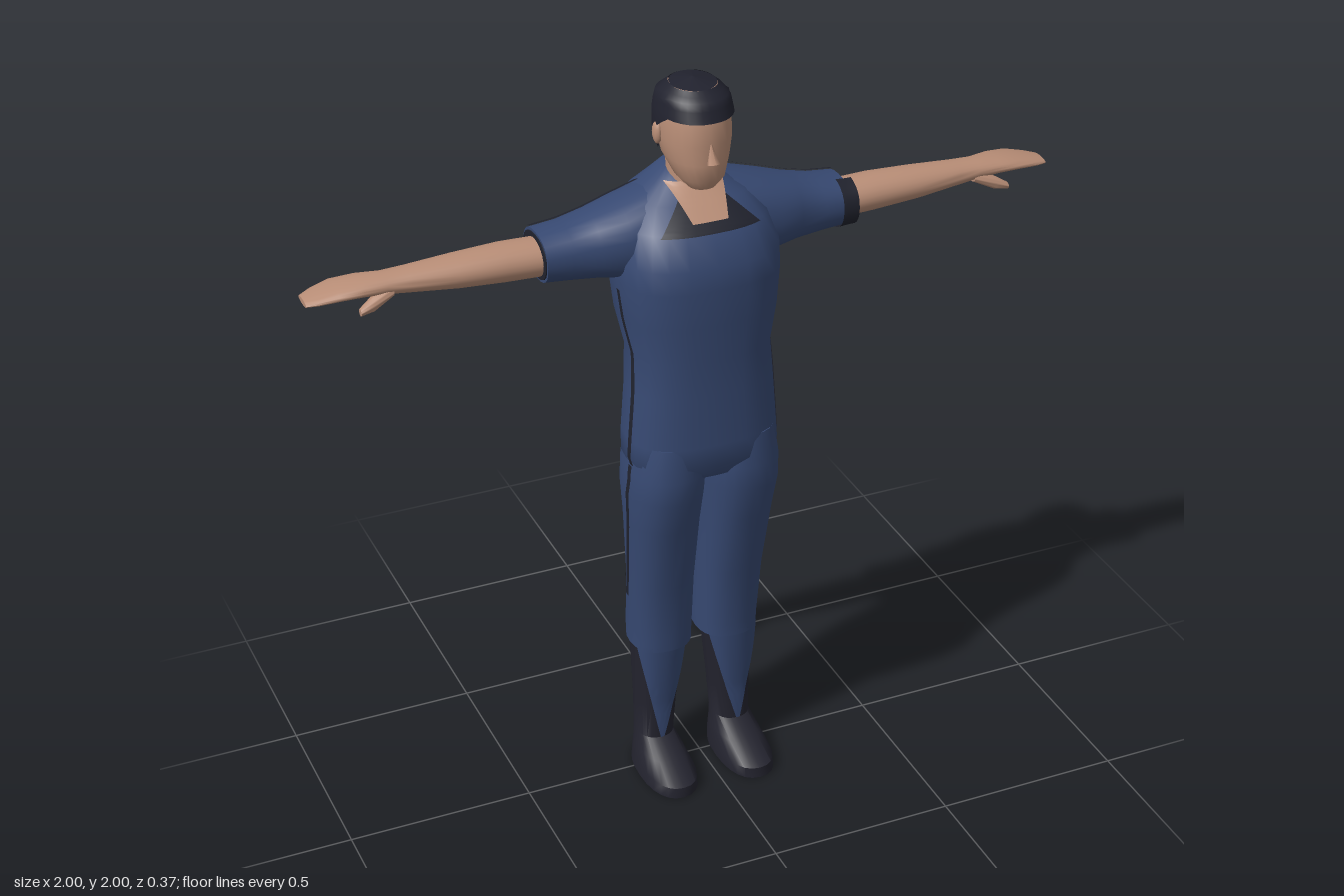
import * as THREE from 'three';
import { mergeVertices, toCreasedNormals } from 'three/addons/utils/BufferGeometryUtils.js';

const mat = (name, color, side = THREE.FrontSide) => {
  const m = new THREE.MeshStandardMaterial({ color, side });
  m.name = name;
  return m;
};
const SIDES = 24;
const { lerp, clamp } = THREE.MathUtils;
const spow = (x, p) => Math.sign(x) * Math.abs(x) ** p;

// Surface swept through rows [s, centre, halfWidth, front, back]; p < 1 gives squarer sections.
// axis 'y': sections in (x, z); axis 'x': sections in (z, y).
function surface(rows, axis = 'y', p = 1) {
  const at = (s) => {
    let i = 0;
    while (i < rows.length - 2 && s > rows[i + 1][0]) i++;
    const a = rows[i], b = rows[i + 1];
    const t = clamp((s - a[0]) / (b[0] - a[0]), 0, 1);
    const [, c, w, f, k] = a.map((v, n) => lerp(v, b[n], t));
    return { c, w, mid: (f + k) / 2, half: (f - k) / 2 };
  };
  return {
    rows,
    point(s, angle, off = 0) {
      const r = at(s);
      const u = r.c + (r.w + off) * spow(Math.cos(angle), p);
      const v = r.mid + (r.half + off) * spow(Math.sin(angle), p);
      return axis === 'y' ? new THREE.Vector3(u, s, v) : new THREE.Vector3(s, v, u);
    },
    // angle on the front half at width position u, or on the outer half at depth v
    angleU(s, u) { const r = at(s); return Math.acos(clamp(spow((u - r.c) / r.w, 1 / p), -1, 1)); },
    angleV(s, v) { const r = at(s); return Math.asin(clamp(spow((v - r.mid) / r.half, 1 / p), -1, 1)); },
  };
}

// Grid of points f(i, j), optionally closed with end caps.
function grid(ni, nj, f, caps = false) {
  const pos = [], index = [];
  for (let i = 0; i <= ni; i++) for (let j = 0; j <= nj; j++) pos.push(...f(i, j).toArray());
  const id = (i, j) => i * (nj + 1) + j;
  for (let i = 0; i < ni; i++) for (let j = 0; j < nj; j++) {
    index.push(id(i, j), id(i + 1, j), id(i + 1, j + 1), id(i, j), id(i + 1, j + 1), id(i, j + 1));
  }
  if (caps) for (const i of [0, ni]) {
    const c = f(i, 0).add(f(i, nj / 2)).multiplyScalar(0.5), n = pos.length / 3;
    pos.push(...c.toArray());
    for (let j = 0; j < nj; j++) {
      if (i) index.push(id(i, j), n, id(i, j + 1));
      else index.push(id(i, j), id(i, j + 1), n);
    }
  }
  const g = new THREE.BufferGeometry();
  g.setAttribute('position', new THREE.Float32BufferAttribute(pos, 3));
  g.setIndex(index);
  return toCreasedNormals(mergeVertices(g, 1e-5), 0.9);
}

const loft = (sf) => grid(sf.rows.length - 1, SIDES,
  (i, j) => sf.point(sf.rows[i][0], (j % SIDES) / SIDES * Math.PI * 2), true);

// Thin overlay between two angle limits (functions of s) on a surface.
const patch = (sf, s0, s1, lo, hi, off = 0.004, n = 16, m = 8) => grid(n, m, (i, j) => {
  const s = lerp(s0, s1, i / n);
  return sf.point(s, lerp(lo(s), hi(s), j / m), off);
});

// Copy to the other side of x = 0, reversing each triangle.
function mirrored(g) {
  const out = g.clone().scale(-1, 1, 1);
  for (const a of [out.attributes.position, out.attributes.normal]) {
    for (let i = 0; i < a.count; i += 3) {
      const b = new THREE.Vector3().fromBufferAttribute(a, i + 1);
      const c = new THREE.Vector3().fromBufferAttribute(a, i + 2);
      a.setXYZ(i + 1, c.x, c.y, c.z);
      a.setXYZ(i + 2, b.x, b.y, b.z);
    }
  }
  return out;
}

export function createModel() {
  const blue = mat('blue cloth', 0x374972);
  const skin = mat('skin', 0xb98e77);
  const dark = mat('dark trim', 0x20222d, THREE.DoubleSide);
  const black = mat('boot leather', 0x23232e);
  const hairMat = mat('hair', 0x21222e, THREE.DoubleSide);

  const model = new THREE.Group();
  model.name = 'standingMan';
  const body = new THREE.Group(), arms = new THREE.Group();
  body.name = 'body';
  arms.name = 'arms';
  body.position.x = -0.012;
  model.add(body, arms);
  const add = (parent, name, g, m) => {
    const mesh = new THREE.Mesh(g, m);
    mesh.name = name;
    parent.add(mesh);
  };
  const pair = (parent, name, g, m) => {
    const flat = g.index ? g.toNonIndexed() : g;
    add(parent, 'left' + name, flat, m);
    add(parent, 'right' + name, mirrored(flat), m);
  };

  // Torso
  const torso = surface([
    [0.955, 0, 0.17, 0.13, -0.08], [1.0, 0, 0.203, 0.157, -0.105], [1.06, 0, 0.2, 0.157, -0.115],
    [1.2, 0, 0.19, 0.15, -0.11], [1.3, 0, 0.183, 0.152, -0.128], [1.4, 0, 0.203, 0.156, -0.155],
    [1.5, 0, 0.212, 0.16, -0.175], [1.56, 0, 0.212, 0.156, -0.183], [1.64, 0, 0.19, 0.115, -0.183],
    [1.69, 0, 0.15, 0.055, -0.165], [1.73, 0, 0.085, 0.005, -0.14], [1.755, 0, 0.055, -0.02, -0.12],
  ], 'y', 0.75);
  add(body, 'torso', loft(torso), blue);

  // Open collar with bare throat
  const band = (width, s0, s1, off) => patch(torso, s0, s1,
    (s) => torso.angleU(s, width(s)), (s) => torso.angleU(s, -width(s)), off);
  add(body, 'collar', band((s) => lerp(0.13, 0.055, (s - 1.637) / 0.07), 1.637, 1.707, 0.004), dark);
  add(body, 'throat', band((s) => lerp(0.045, 0.065, (s - 1.66) / 0.06), 1.66, 1.735, 0.008), skin);

  // Legs
  const leg = surface([
    [0.392, 0.095, 0.083, 0.058, -0.118], [0.43, 0.095, 0.084, 0.06, -0.118],
    [0.6, 0.098, 0.087, 0.075, -0.092], [0.8, 0.103, 0.093, 0.125, -0.097],
    [0.9, 0.105, 0.1, 0.15, -0.101], [0.97, 0.102, 0.1, 0.157, -0.104], [1.06, 0.1, 0.09, 0.145, -0.1],
  ], 'y', 0.85);
  pair(body, 'TrouserLeg', loft(leg), blue);

  // Side stripe running from the armpit to the knee
  const stripeZ = (s) => s > 1.2 ? lerp(0.05, 0.015, (s - 1.2) / 0.28)
    : s > 0.95 ? 0.05 : lerp(-0.02, 0.05, (s - 0.55) / 0.4);
  const stripe = (sf, s0, s1) => patch(sf, s0, s1,
    (s) => sf.angleV(s, stripeZ(s) - 0.008), (s) => sf.angleV(s, stripeZ(s) + 0.008), 0.004, 20, 2);
  pair(body, 'TorsoStripe', stripe(torso, 0.99, 1.48), dark);
  pair(body, 'LegStripe', stripe(leg, 0.55, 0.99), dark);
  pair(body, 'KneeSeam', patch(leg, 0.58, 0.586, () => Math.PI * 1.1, () => Math.PI * 1.9, 0.003, 1, 16), dark);

  // Boots, with a pointed blue shin panel
  const boot = surface([
    [0, 0.113, 0.072, 0.185, -0.092], [0.03, 0.112, 0.07, 0.183, -0.092], [0.065, 0.112, 0.06, 0.105, -0.09],
    [0.097, 0.112, 0.05, 0.03, -0.09], [0.2, 0.108, 0.055, 0.03, -0.092], [0.41, 0.102, 0.072, 0.052, -0.1],
  ], 'y', 0.85);
  pair(body, 'Boot', loft(boot), black);
  const spread = (s) => lerp(0.06, 1.2, (s - 0.1) / 0.3);
  pair(body, 'ShinPanel', patch(boot, 0.1, 0.405,
    (s) => Math.PI / 2 - spread(s), (s) => Math.PI / 2 + spread(s), 0.005), blue);

  // Sleeves
  const sleeve = surface([
    [0.08, -0.06, 0.1, 1.725, 1.5], [0.2, -0.05, 0.11, 1.69, 1.495], [0.27, -0.06, 0.092, 1.665, 1.5],
    [0.34, -0.06, 0.086, 1.648, 1.508], [0.41, -0.06, 0.085, 1.64, 1.515],
  ], 'x', 0.85);
  pair(arms, 'Sleeve', loft(sleeve), blue);
  pair(arms, 'SleeveStripe', patch(sleeve, 0.1, 0.41,
    (s) => sleeve.angleU(s, -0.095), (s) => sleeve.angleU(s, -0.11), 0.004, 16, 2), dark);
  const opening = surface([[0.4, -0.06, 0.078, 1.633, 1.522], [0.413, -0.06, 0.078, 1.633, 1.522]], 'x', 0.85);
  pair(arms, 'SleeveOpening', loft(opening), dark);
  add(arms, 'leftCuffBand', patch(sleeve, 0.385, 0.428, () => -1.25, () => 1.25, 0.004, 4, 12), dark);

  // Bare arms, mitten-like hands and thumbs
  const arm = surface([
    [0.38, -0.058, 0.06, 1.622, 1.525], [0.5, -0.058, 0.061, 1.625, 1.53], [0.62, -0.058, 0.056, 1.62, 1.538],
    [0.74, -0.06, 0.045, 1.612, 1.55], [0.8, -0.062, 0.042, 1.608, 1.557], [0.86, -0.068, 0.052, 1.606, 1.562],
    [0.92, -0.075, 0.056, 1.596, 1.563], [0.97, -0.072, 0.045, 1.585, 1.561], [1.0, -0.068, 0.032, 1.577, 1.562],
  ], 'x');
  pair(arms, 'Arm', loft(arm), skin);
  const thumb = surface([
    [0.785, -0.045, 0.024, 1.585, 1.555], [0.84, -0.025, 0.02, 1.568, 1.532], [0.875, -0.014, 0.011, 1.548, 1.53],
  ], 'x');
  pair(arms, 'Thumb', loft(thumb), skin);

  // Neck and head
  const neck = surface([[1.66, 0, 0.06, 0.03, -0.1], [1.74, 0, 0.056, 0.02, -0.098], [1.83, 0, 0.06, 0.02, -0.1]]);
  add(body, 'neck', loft(neck), skin);
  const head = surface([
    [1.737, 0, 0.035, 0.075, 0], [1.765, 0, 0.06, 0.097, -0.05], [1.81, 0, 0.078, 0.1, -0.105],
    [1.86, 0, 0.088, 0.099, -0.118], [1.92, 0, 0.086, 0.098, -0.122],
    [1.965, 0, 0.078, 0.08, -0.105], [1.986, 0, 0.05, 0.045, -0.07],
  ], 'y', 0.9);
  add(body, 'head', loft(head), skin);
  add(body, 'nose', new THREE.ConeGeometry(0.016, 0.055, 6).rotateX(-0.3).translate(0, 1.845, 0.105), skin);
  pair(body, 'Ear', new THREE.SphereGeometry(1, 10, 8).scale(0.012, 0.03, 0.018).translate(0.09, 1.865, -0.022), skin);

  // Short hair: high at the brow, sideburns, low at the nape
  const hairline = (a) => {
    const k = Math.sin(a);
    return k > 0.35 ? 1.922 : k > -0.2 ? lerp(1.87, 1.922, (k + 0.2) / 0.55)
      : lerp(1.87, 1.805, Math.min(1, (-0.2 - k) / 0.3));
  };
  add(body, 'hair', grid(7, 32, (i, j) => {
    const a = (j % 32) / 32 * Math.PI * 2;
    const p = head.point(lerp(hairline(a), 1.986, i / 7), a, 0.008);
    return i === 7 ? p.setY(1.988) : p;
  }), hairMat);
  add(body, 'hairCrown', new THREE.ConeGeometry(1, 0.012, 32).scale(0.058, 1, 0.066).translate(0, 1.994, -0.0125), hairMat);

  return model;
}
